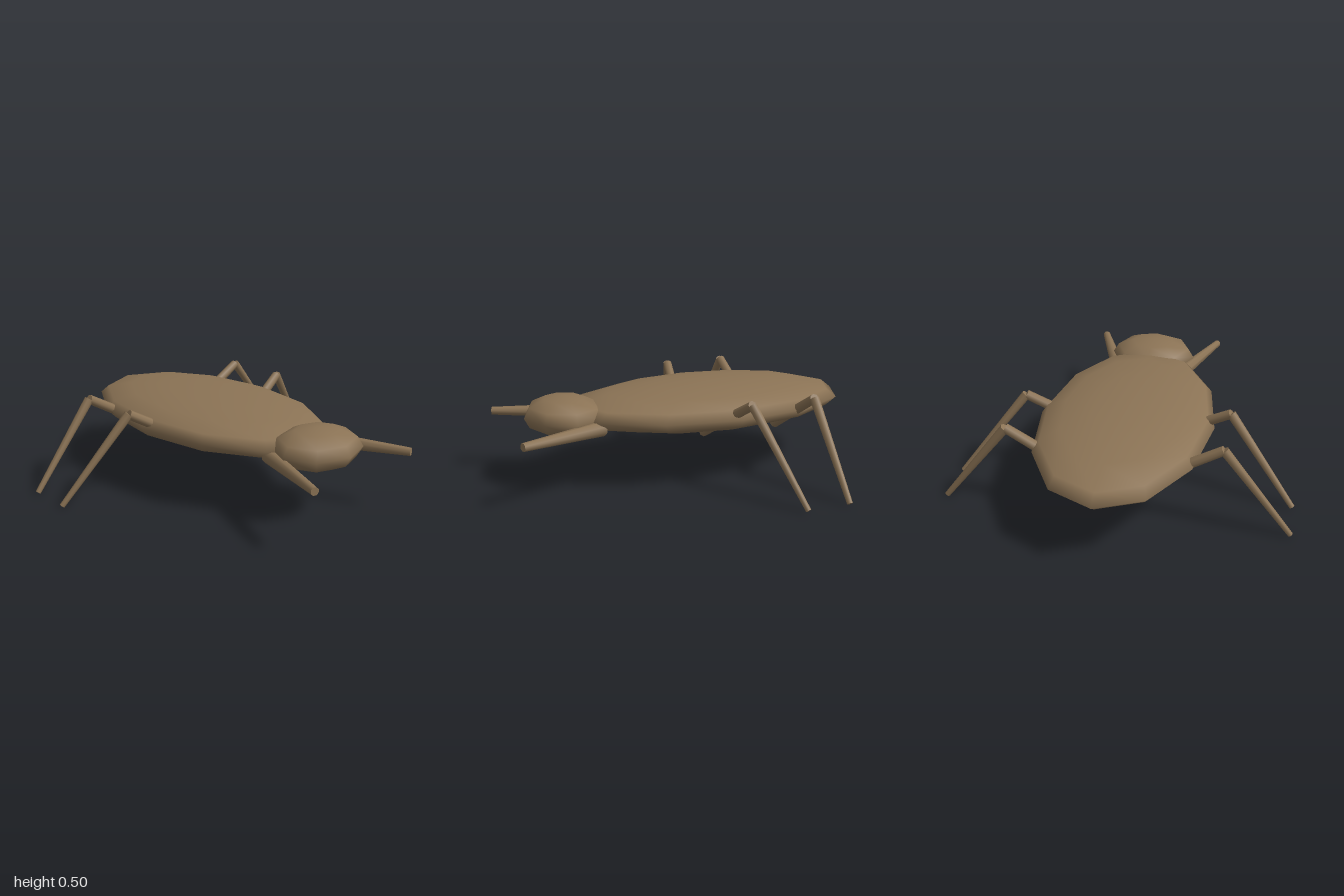
import * as THREE from 'three';

const shell = new THREE.MeshStandardMaterial({ color: 0x8b7355 });
shell.name = 'tan shell';

// Squashed low-poly ball
function ellipsoid(name, center, radii, sides, rings) {
  const mesh = new THREE.Mesh(new THREE.SphereGeometry(1, sides, rings), shell);
  mesh.name = name;
  mesh.scale.set(...radii);
  mesh.position.set(...center);
  return mesh;
}

// Tapered limb segment from point a to point b
function limb(name, a, b, ra, rb) {
  const from = new THREE.Vector3(...a), to = new THREE.Vector3(...b);
  const dir = to.clone().sub(from);
  const mesh = new THREE.Mesh(new THREE.CylinderGeometry(rb, ra, dir.length(), 8), shell);
  mesh.name = name;
  mesh.position.copy(from).add(to).multiplyScalar(0.5);
  mesh.quaternion.setFromUnitVectors(new THREE.Vector3(0, 1, 0), dir.normalize());
  return mesh;
}

export function createModel() {
  const model = new THREE.Group();
  model.name = 'beetle';

  model.add(ellipsoid('body', [-0.165, 0.375, 0], [0.835, 0.125, 0.48], 12, 8));
  model.add(ellipsoid('head', [0.67, 0.377, 0], [0.22, 0.108, 0.255], 8, 6));

  for (const s of [1, -1]) {
    const side = s > 0 ? 'Near' : 'Far';

    // Forward-reaching front leg
    model.add(limb('frontLeg' + side, [0.52, 0.335, 0.195 * s], [0.985, 0.34, 0.372 * s], 0.042, 0.022));

    // Two jointed legs; each thigh runs through the body and out underneath
    const legs = [
      ['middle', -0.08, -0.165, -0.295],
      ['hind', -0.535, -0.535, -0.538],
    ];
    for (const [name, hipX, kneeX, footX] of legs) {
      const leg = new THREE.Group();
      leg.name = name + 'Leg' + side;
      const knee = [kneeX, 0.475, 0.565 * s];
      leg.add(limb('thigh', [hipX, 0.238, 0.155 * s], knee, 0.031, 0.026));
      leg.add(limb('shin', knee, [footX, 0.012, 0.93 * s], 0.026, 0.015));
      model.add(leg);
    }
  }
  return model;
}
